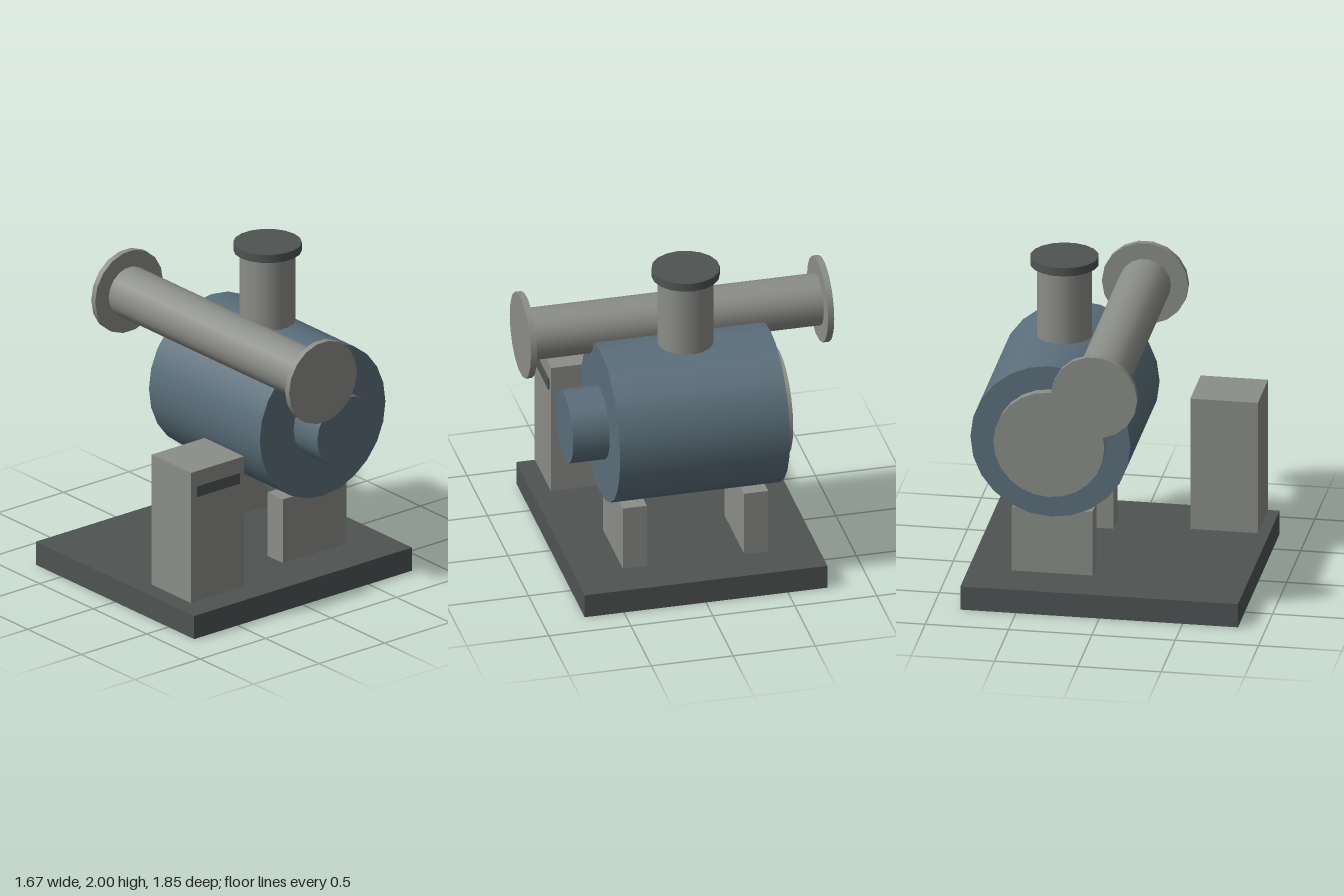
import * as THREE from 'three';

export function createModel() {
  const model = new THREE.Group();
  const material = (name, color) => {
    const m = new THREE.MeshStandardMaterial({ color });
    m.name = name;
    return m;
  };
  const grey = material('light grey', 0x8b8d88);
  const dark = material('dark grey', 0x4f5453);
  const blue = material('steel blue', 0x5a6e7a);

  const add = (name, geometry, mat) => {
    const mesh = new THREE.Mesh(geometry, mat);
    mesh.name = name;
    model.add(mesh);
  };
  // Box given by its limits on each axis
  const box = (name, mat, [x0, x1], [y0, y1], [z0, z1]) => add(name,
    new THREE.BoxGeometry(x1 - x0, y1 - y0, z1 - z0)
      .translate((x0 + x1) / 2, (y0 + y1) / 2, (z0 + z1) / 2), mat);
  // Cylinder along z, with corners at its left and right extremes
  const drumZ = (name, mat, r, sides, x, y, z0, z1) => add(name,
    new THREE.CylinderGeometry(r, r, z1 - z0, sides)
      .rotateY(Math.PI / 2).rotateX(Math.PI / 2).translate(x, y, (z0 + z1) / 2), mat);
  // Upright cylinder
  const drumY = (name, mat, r, sides, x, z, y0, y1) => add(name,
    new THREE.CylinderGeometry(r, r, y1 - y0, sides)
      .rotateY(Math.PI / 2).translate(x, (y0 + y1) / 2, z), mat);

  // Base and saddles
  box('basePlate', dark, [-0.833, 0.833], [0, 0.148], [-0.74, 0.74]);
  for (const z of [-0.37, 0.37])
    box(z > 0 ? 'frontSaddle' : 'backSaddle', grey, [0.09, 0.575], [0.148, 0.556], [z - 0.073, z + 0.073]);

  // Tank with front burner and rear cover
  drumZ('tank', blue, 0.48, 24, 0.33, 1.02, -0.518, 0.518);
  drumZ('burner', blue, 0.222, 20, 0.33, 1.02, 0.518, 0.74);
  drumZ('rearCover', grey, 0.333, 24, 0.33, 1.02, -0.574, -0.518);

  // Stack
  drumY('stack', grey, 0.166, 18, 0.333, 0, 1.5, 1.95);
  drumY('stackCap', dark, 0.203, 18, 0.333, 0, 1.948, 2);

  // Side pipe with a flange at each end
  drumZ('sidePipe', grey, 0.156, 18, 0, 1.485, -0.888, 0.888);
  drumZ('frontFlange', grey, 0.259, 18, 0, 1.485, 0.887, 0.925);
  drumZ('backFlange', grey, 0.259, 18, 0, 1.485, -0.925, -0.887);

  // Control cabinet and its display
  box('cabinet', grey, [-0.78, -0.375], [0.187, 1.02], [0.278, 0.645]);
  box('cabinetDisplay', dark, [-0.742, -0.412], [0.857, 0.926], [0.644, 0.653]);

  return model;
}
